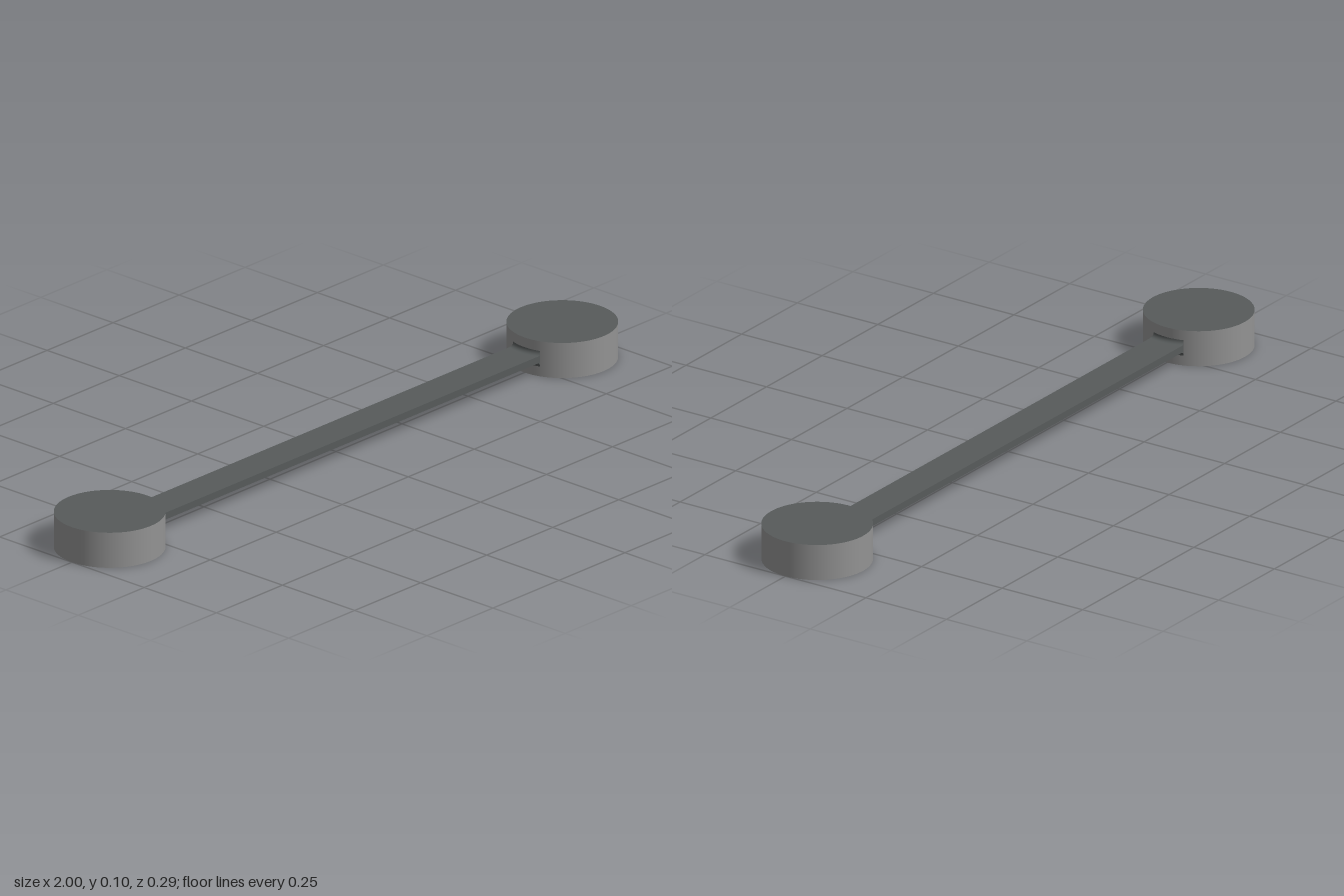
import * as THREE from 'three';

const MID = 0.0485;      // mid height
const R = 0.143;         // disc radius
const CX = 1 - R;        // disc centre
const HALF_T = 0.0095;   // half bar thickness
const HALF_W = 0.048;    // half bar width
const F = 0.012;         // fillet radius

export function createModel() {
  const group = new THREE.Group();
  const sideGrey = new THREE.MeshStandardMaterial({ color: 0x939393 });
  sideGrey.name = 'side grey';
  const slate = new THREE.MeshStandardMaterial({ color: 0x575b5b, side: THREE.DoubleSide });
  slate.name = 'slate grey';

  const add = (parent, name, geometry, material) => {
    const mesh = new THREE.Mesh(geometry, material);
    mesh.name = name;
    parent.add(mesh);
    return mesh;
  };

  // Thin flat bar joining the discs
  add(group, 'bar', new THREE.BoxGeometry(1.44, HALF_T * 2, HALF_W * 2), slate).position.y = MID;

  // Concave fillet section, running from the bar up the disc wall
  const arc = [];
  for (let i = 0; i <= 6; i++) {
    const a = (i / 6) * Math.PI / 2;
    arc.push(new THREE.Vector2(R + F * (1 - Math.sin(a)), HALF_T + F * (1 - Math.cos(a))));
  }
  const section = new THREE.Shape([...arc, new THREE.Vector2(R - 0.002, HALF_T)]);
  const spread = Math.asin(HALF_W / (R + F / 2));

  for (const s of [-1, 1]) {
    const end = new THREE.Group();
    end.name = s > 0 ? 'leftEnd' : 'rightEnd';
    end.position.set(s * CX, MID, 0);
    if (s < 0) end.rotation.y = Math.PI;
    group.add(end);

    // Disc with darker caps
    add(end, 'disc', new THREE.CylinderGeometry(R, R, MID * 2, 72), [sideGrey, slate, slate]);

    // Fillets above and below the bar, following the disc wall
    for (const flip of [0, Math.PI]) {
      const fillet = new THREE.Group();
      fillet.name = flip ? 'lowerFillet' : 'upperFillet';
      fillet.rotation.x = flip;
      end.add(fillet);
      const curve = arc.slice().reverse();
      add(fillet, 'filletCurve',
        new THREE.LatheGeometry(curve, 12, -Math.PI / 2 - spread, spread * 2), slate);
      for (const e of [-1, 1]) {
        add(fillet, 'filletEnd', new THREE.ShapeGeometry(section), slate)
          .rotation.y = Math.PI + e * spread;
      }
    }
  }
  return group;
}
